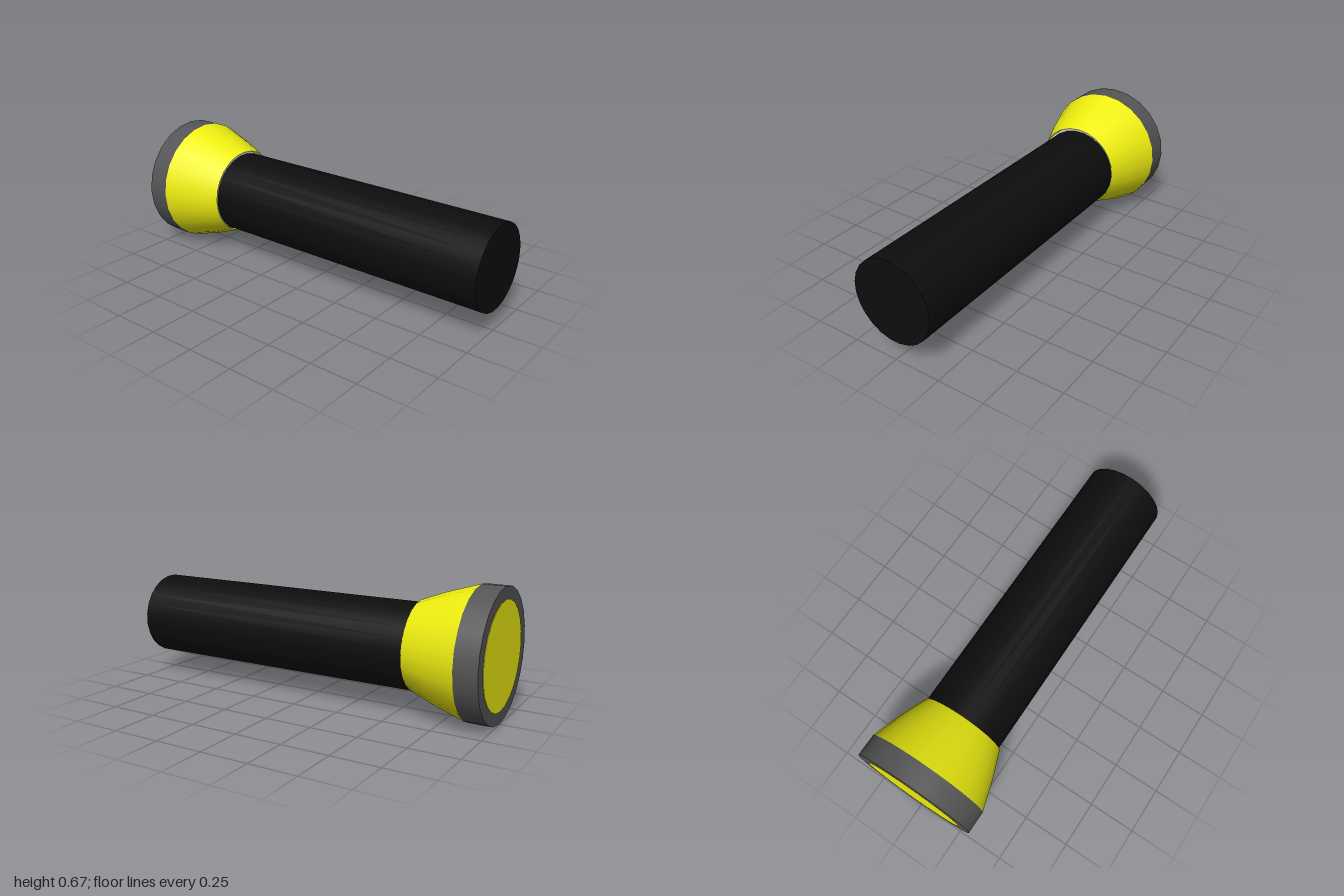
import * as THREE from 'three';

const SIDES = 24;

export function createModel() {
  const model = new THREE.Group();
  model.name = 'flashlight';
  const yellow = new THREE.MeshStandardMaterial({ color: 0xeeee11, side: THREE.DoubleSide });
  const darkGrey = new THREE.MeshStandardMaterial({ color: 0x555555 });
  const black = new THREE.MeshStandardMaterial({ color: 0x0d0d0d });
  const grey = new THREE.MeshStandardMaterial({ color: 0xcccccc });

  // Adds a part whose y axis is laid along x
  function add(name, geometry, material, x = 0, y = 0.334, z = 0) {
    geometry.rotateZ(-Math.PI / 2);
    const mesh = new THREE.Mesh(geometry, material);
    mesh.name = name;
    mesh.position.set(x, y, z);
    model.add(mesh);
  }
  const drum = (radius, length, turn = 0) =>
    new THREE.CylinderGeometry(radius, radius, length, SIDES, 1, false, turn);

  // Handle, slightly off the head's axis
  add('handle', drum(0.22, 1.59, Math.PI / SIDES), black, 0.205, 0.327, -0.004);

  // Flared head, from the lens rim to the handle
  const flare = [[0.333, -0.88], [0.279, -0.71], [0.228, -0.58]];
  add('head', new THREE.LatheGeometry(flare.map(([r, x]) => new THREE.Vector2(r, x)), SIDES), yellow);

  // Collar closing the gap between head and handle
  add('collar', drum(0.226, 0.02), grey, -0.597);

  // Rim and lens
  add('rim', drum(0.333, 0.118), darkGrey, -0.939);
  add('lens', drum(0.27, 0.02), yellow, -0.99);

  return model;
}
